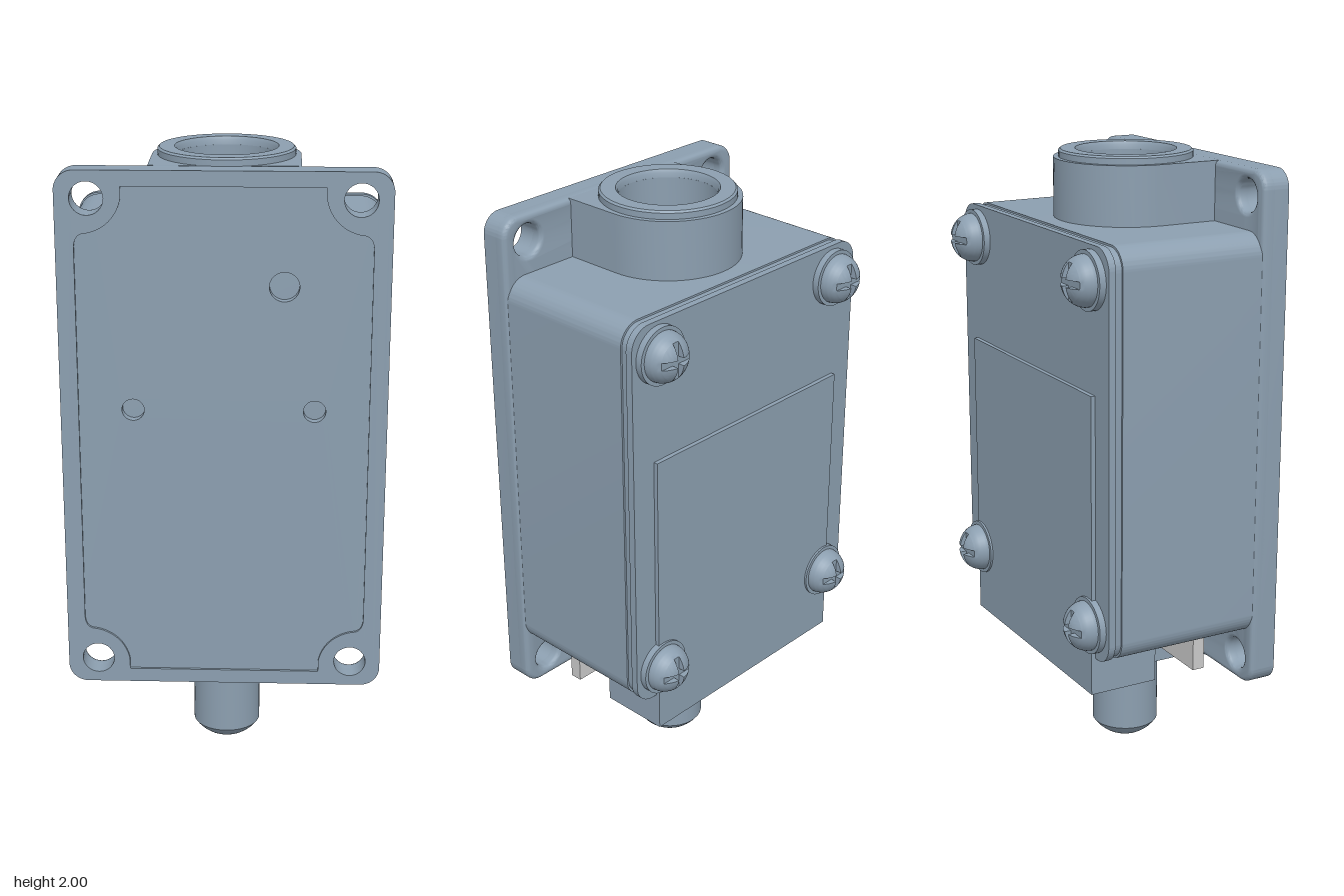
import * as THREE from 'three';
import { toCreasedNormals } from 'three/addons/utils/BufferGeometryUtils.js';

const CZ = 0.073; // z of the conduit and plunger axis
const paint = new THREE.MeshStandardMaterial({ color: 0x8c9fb0 });
const grey = new THREE.MeshStandardMaterial({ color: 0xcccccc });

function add(parent, name, geo, x = 0, y = 0, z = 0, mat = paint) {
  const m = new THREE.Mesh(toCreasedNormals(geo, 0.55), mat);
  m.name = name;
  m.position.set(x, y, z);
  parent.add(m);
  return m;
}

// Rounded rectangle given by its edges
function roundRect(w, y0, y1, r) {
  const s = new THREE.Shape();
  s.absarc(w - r, y0 + r, r, -Math.PI / 2, 0);
  s.absarc(w - r, y1 - r, r, 0, Math.PI / 2);
  s.absarc(-w + r, y1 - r, r, Math.PI / 2, Math.PI);
  s.absarc(-w + r, y0 + r, r, Math.PI, Math.PI * 1.5);
  s.closePath();
  return s;
}

const circle = (x, y, r) => new THREE.Path().absarc(x, y, r, 0, Math.PI * 2, true);

// Extrude an outline along z from z0 to z1, optionally with rounded rims
function slab(shape, z0, z1, bevel = 0) {
  const g = new THREE.ExtrudeGeometry(shape, {
    depth: z1 - z0 - 2 * bevel, curveSegments: 16, bevelEnabled: bevel > 0,
    bevelThickness: bevel, bevelSize: bevel, bevelOffset: -bevel, bevelSegments: 4,
  });
  return g.translate(0, 0, z0 + bevel);
}

// Extrude an (x, -z) outline upwards from y0 to y1
const upright = (shape, y0, y1) => slab(shape, y0, y1).rotateX(-Math.PI / 2);

// U-shaped boss outline that may flare where it meets the mounting plate
function bossShape(r, flare) {
  const s = new THREE.Shape();
  const back = -0.27;
  s.moveTo(-r - flare, back);
  s.lineTo(r + flare, back);
  if (flare) s.quadraticCurveTo(r, back, r, back + flare);
  s.lineTo(r, -CZ);
  s.absarc(0, -CZ, r, 0, Math.PI);
  s.lineTo(-r, back + flare);
  if (flare) s.quadraticCurveTo(-r, back, -r - flare, back);
  s.closePath();
  return s;
}

// Outline of the front recess, scooped around the four mounting holes
function recessPath() {
  const w = 0.44, y0 = 0.37, y1 = 1.928, R = 0.1, f = 0.035;
  const p = new THREE.Path();
  const corners = [[1, y0, 1], [1, y1, -1], [-1, y1, -1], [-1, y0, 1]];
  corners.forEach(([sx, yc, sy], i) => {
    const pts = [[w - R - f - 0.005, 0], [w - R - 0.04, 0.003], [w - R - 0.04, f],
      [w - R - 0.03, 0.09], [w - 0.09, R + 0.03], [w - f, R + 0.04],
      [w - 0.003, R + 0.04], [w, R + f + 0.045]].map(([x, d]) => [sx * x, yc + sy * d]);
    if (i % 2) pts.reverse();
    if (i === 0) p.moveTo(...pts[0]); else p.lineTo(...pts[0]);
    p.quadraticCurveTo(...pts[1], ...pts[2]);
    p.bezierCurveTo(...pts[3], ...pts[4], ...pts[5]);
    p.quadraticCurveTo(...pts[6], ...pts[7]);
  });
  p.closePath();
  return p;
}

// One quarter of a cross-slotted dome, stacked from corner-cut arcs
function domeLobe(R, H, h0, w) {
  const rings = 6, n = 8, pos = [], idx = [];
  const hTop = H * Math.sqrt(1 - 2 * (w / R) ** 2) - 0.0002;
  for (let i = 0; i <= rings; i++) {
    const h = h0 + (hTop - h0) * Math.sin((i / rings) * Math.PI / 2);
    const r = R * Math.sqrt(1 - (h / H) ** 2);
    const a0 = Math.asin(w / r);
    pos.push(w, w, h);
    for (let j = 0; j <= n; j++) {
      const a = a0 + (Math.PI / 2 - 2 * a0) * j / n;
      pos.push(r * Math.cos(a), r * Math.sin(a), h);
    }
  }
  const c = n + 2;
  for (let i = 0; i < rings; i++) for (let j = 0; j < c; j++) {
    const a = i * c + j, b = i * c + (j + 1) % c;
    idx.push(a, b, b + c, a, b + c, a + c);
  }
  for (let j = 1; j <= n; j++) idx.push(rings * c, rings * c + j, rings * c + j + 1);
  const g = new THREE.BufferGeometry();
  g.setAttribute('position', new THREE.Float32BufferAttribute(pos, 3));
  g.setIndex(idx);
  return g;
}

// Washer and slotted dome head, facing local +z
function screw() {
  const g = new THREE.Group();
  g.name = 'coverScrew';
  const R = 0.078, H = 0.07, floor = 0.047;
  add(g, 'washer', new THREE.CylinderGeometry(0.09, 0.09, 0.03, 40).rotateX(Math.PI / 2), 0, 0, 0.01);
  const profile = [];
  for (let i = 0; i <= 8; i++) {
    const h = floor * i / 8;
    profile.push(new THREE.Vector2(R * Math.sqrt(1 - (h / H) ** 2), h));
  }
  profile.push(new THREE.Vector2(0, floor));
  add(g, 'screwHead', new THREE.LatheGeometry(profile, 40).rotateX(Math.PI / 2).scale(1, -1, 1).rotateY(0), 0, 0, 0.025)
    .geometry = toCreasedNormals(new THREE.LatheGeometry(profile, 40).rotateX(Math.PI / 2), 0.55);
  for (let k = 0; k < 4; k++) {
    add(g, 'screwLobe', domeLobe(R, H, floor, 0.0115), 0, 0, 0.025).rotation.z = k * Math.PI / 2;
  }
  return g;
}

export function createModel() {
  const root = new THREE.Group();
  root.name = 'limitSwitch';

  // Mounting plate: rounded rear layer, drilled front layer, raised rim
  const plate = new THREE.Group();
  plate.name = 'mountingPlate';
  root.add(plate);
  const plateShape = () => {
    const s = roundRect(0.495, 0.325, 1.975, 0.06);
    for (const x of [-0.4, 0.4]) for (const y of [0.407, 1.892]) s.holes.push(circle(x, y, 0.05));
    return s;
  };
  add(plate, 'plateRear', slab(plateShape(), 0.26, 0.312, 0.015));
  const front = plateShape();
  front.holes.push(circle(0.18, 1.63, 0.045), circle(-0.275, 1.243, 0.034), circle(0.275, 1.243, 0.034));
  add(plate, 'plateFront', slab(front, 0.29, 0.34));
  const rim = plateShape();
  rim.holes.push(recessPath());
  add(plate, 'plateRim', slab(rim, 0.34, 0.348));

  // Housing, gasket and cover
  add(root, 'housing', slab(roundRect(0.49, 0.505, 1.79, 0.07), -0.21, 0.27));
  add(root, 'gasket', slab(roundRect(0.484, 0.511, 1.784, 0.066), -0.236, -0.209));
  add(root, 'cover', slab(roundRect(0.494, 0.505, 1.79, 0.07), -0.258, -0.235));
  add(root, 'coverPanel', new THREE.BoxGeometry(0.82, 0.96, 0.03), 0, 0.865, -0.257);
  add(root, 'lowerBlock', new THREE.BoxGeometry(0.82, 0.13, 0.225), 0, 0.45, -0.1575);
  for (const x of [-0.388, 0.388]) for (const y of [0.612, 1.687]) {
    const s = screw();
    s.position.set(x, y, -0.254);
    s.rotation.y = Math.PI;
    root.add(s);
  }

  // Conduit entry on top, with bore, collar and inner disc
  const entry = bossShape(0.226, 0);
  entry.holes.push(circle(0, -CZ, 0.152));
  add(root, 'conduitBoss', upright(entry, 1.72, 1.975));
  const collar = [[0.152, 1.96], [0.21, 1.96], [0.21, 1.994], [0.204, 2], [0.158, 2], [0.152, 1.99], [0.152, 1.96]];
  add(root, 'conduitCollar', new THREE.LatheGeometry(collar.map(p => new THREE.Vector2(...p)), 64), 0, 0, CZ);
  add(root, 'boreFloor', new THREE.CylinderGeometry(0.155, 0.155, 0.1, 48), 0, 1.825, CZ);
  add(root, 'boreDisc', new THREE.CylinderGeometry(0.09, 0.09, 0.05, 48), 0, 1.853, 0, grey);

  // Plunger guide, side tabs and plunger underneath
  add(root, 'plungerBoss', upright(bossShape(0.18, 0.06), 0.326, 0.52));
  add(root, 'sideTabs', new THREE.BoxGeometry(0.82, 0.12, 0.04), 0, 0.447, 0.115, grey);
  const tip = [];
  for (let i = 0; i <= 10; i++) {
    const a = (i / 10) * 0.99; // spherical cap
    tip.push(new THREE.Vector2(0.1316 * Math.sin(a), 0.1316 * (1 - Math.cos(a))));
  }
  tip.push(new THREE.Vector2(0.11, 0.062), new THREE.Vector2(0.11, 0.35));
  add(root, 'plunger', new THREE.LatheGeometry(tip, 48), 0, 0, CZ + 0.004);

  return root;
}
